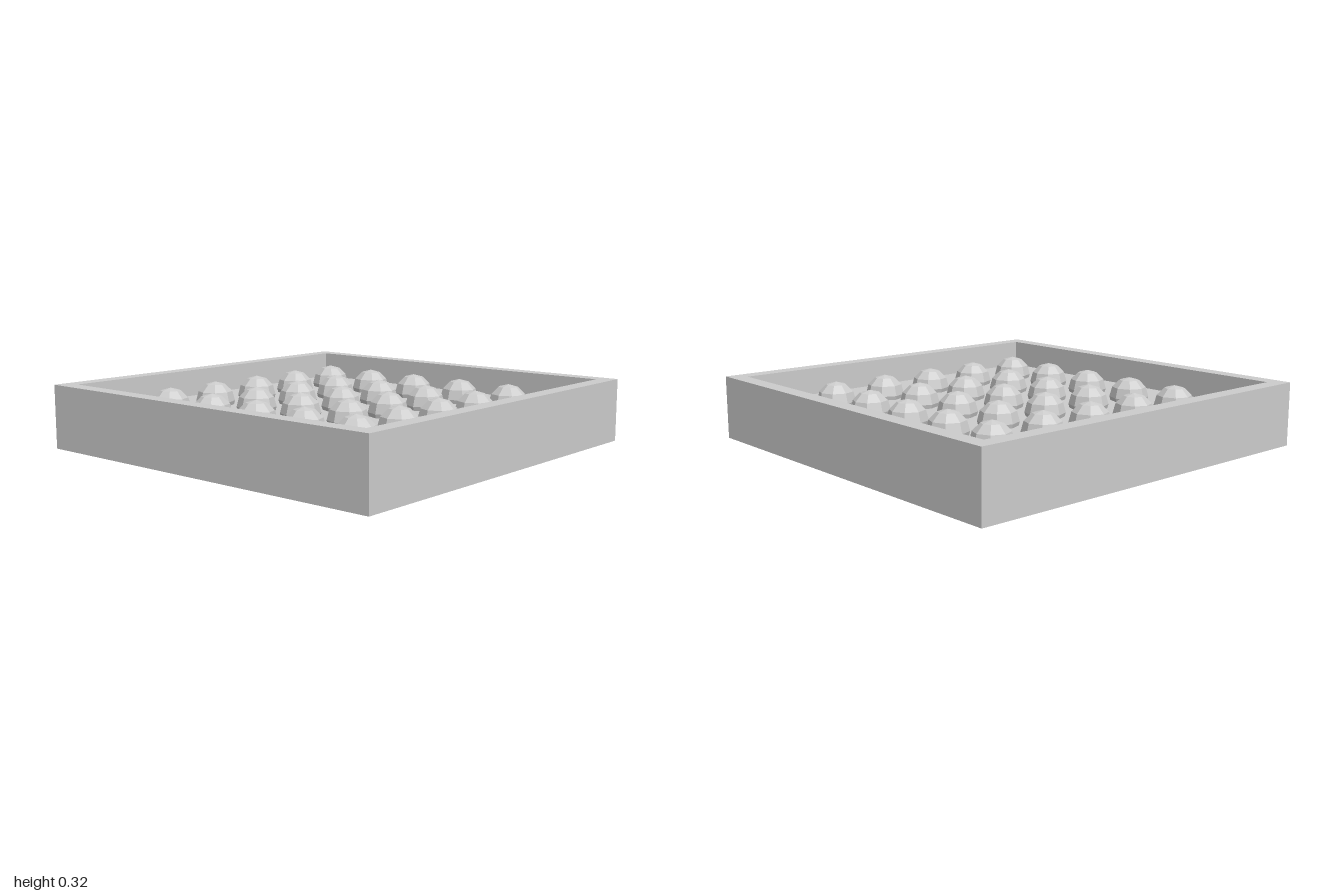
import * as THREE from 'three';

// Gives every facet its own normal
function faceted(geometry) {
  const flat = geometry.toNonIndexed();
  flat.computeVertexNormals();
  return flat;
}

export function createModel() {
  const model = new THREE.Group();
  model.name = 'studdedTray';

  const grey = new THREE.MeshStandardMaterial({ color: 0xcccccc });
  grey.name = 'light grey';

  // Square tray: one closed shell, turned with four sides from its wall profile
  const wallProfile = [
    [0, 0], [1, 0], [1, 0.32], [0.92, 0.32], [0.92, 0.18], [0, 0.18],
  ].map(([half, y]) => new THREE.Vector2(half * Math.SQRT2, y));
  const tray = new THREE.Mesh(
    faceted(new THREE.LatheGeometry(wallProfile, 4, Math.PI / 4)),
    grey
  );
  tray.name = 'tray';
  model.add(tray);

  // Five by five faceted domes, sunk slightly into the tray floor
  const domes = new THREE.Group();
  domes.name = 'domes';
  const domeGeometry = faceted(
    new THREE.SphereGeometry(0.1, 8, 4, 0, Math.PI * 2, 0, Math.PI * 2 / 3)
  );
  const spacing = 0.3;
  for (let row = -2; row <= 2; row++) {
    for (let column = -2; column <= 2; column++) {
      const dome = new THREE.Mesh(domeGeometry, grey);
      dome.name = 'dome';
      dome.position.set(column * spacing, 0.2, row * spacing);
      domes.add(dome);
    }
  }
  model.add(domes);

  return model;
}
